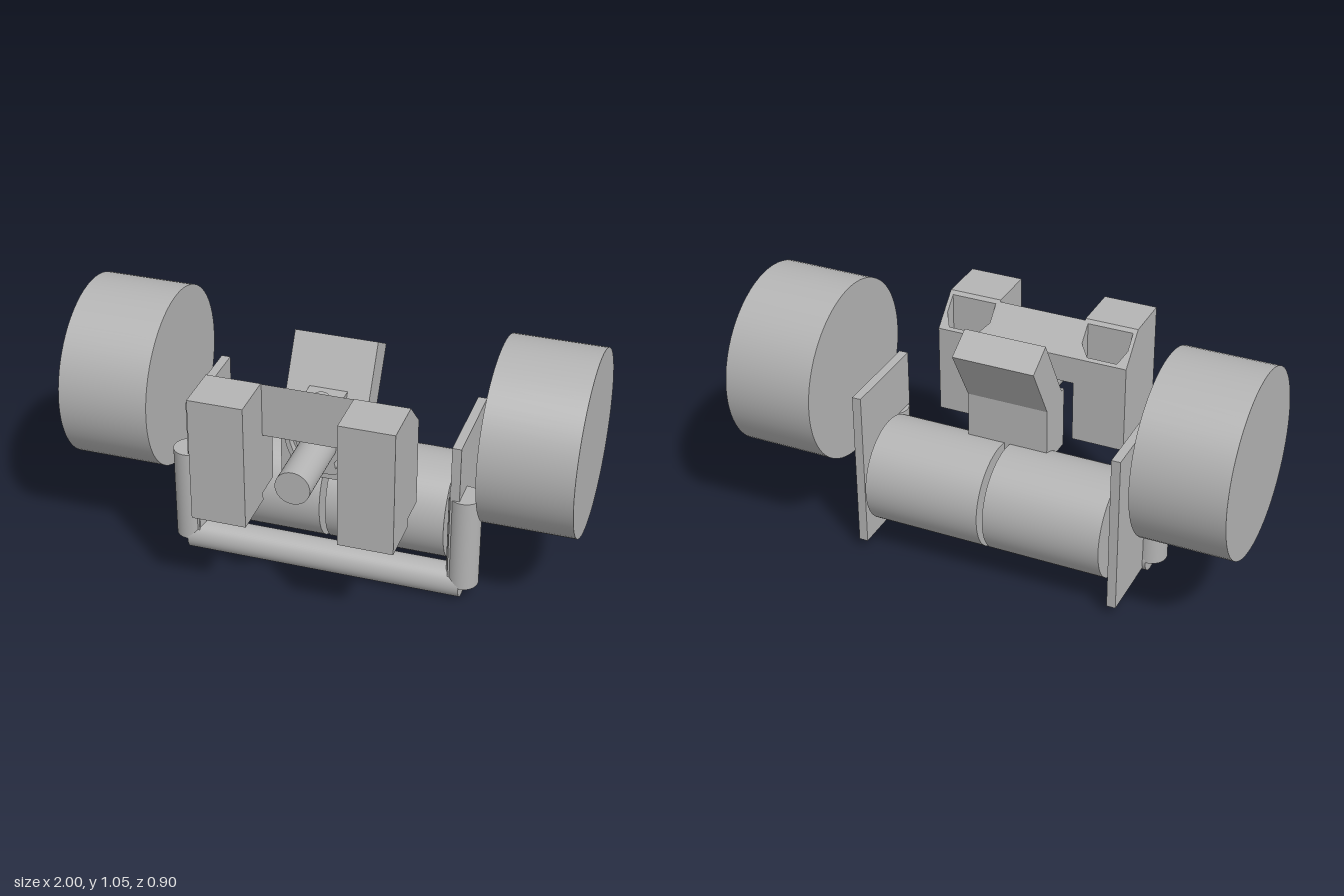
import * as THREE from 'three';

export function createModel() {
  const model = new THREE.Group();
  const grey = new THREE.MeshStandardMaterial({ color: 0xb4b4b4 });
  grey.name = 'plain grey';

  const add = (name, geometry, x = 0, y = 0, z = 0) => {
    const mesh = new THREE.Mesh(geometry, grey);
    mesh.name = name;
    mesh.position.set(x, y, z);
    model.add(mesh);
    return mesh;
  };
  // box given by its limits on each axis
  const box = (name, x0, x1, y0, y1, z0, z1) =>
    add(name, new THREE.BoxGeometry(x1 - x0, y1 - y0, z1 - z0),
      (x0 + x1) / 2, (y0 + y1) / 2, (z0 + z1) / 2);
  const rod = (name, r, length, axis, x, y, z) => {
    const g = new THREE.CylinderGeometry(r, r, length, 64);
    if (axis === 'x') g.rotateZ(Math.PI / 2);
    if (axis === 'z') g.rotateX(Math.PI / 2);
    return add(name, g, x, y, z);
  };
  const polygon = (pts) => new THREE.Shape(pts.map(([a, b]) => new THREE.Vector2(a, b)));
  // side profile of [z, y] points, extruded across x
  const crossPart = (name, pts, x0, x1) => {
    const g = new THREE.ExtrudeGeometry(polygon(pts.map(([z, y]) => [-z, y])),
      { depth: x1 - x0, bevelEnabled: false });
    g.rotateY(Math.PI / 2);
    return add(name, g, x0);
  };

  // parts repeated on both sides
  for (const s of [-1, 1]) {
    const side = s > 0 ? 'left' : 'right';
    rod(side + 'Wheel', 0.36, 0.36, 'x', s * 0.82, 0.69, -0.09);
    rod(side + 'Drum', 0.21, 0.473, 'x', s * 0.2485, 0.297, -0.117);
    box(side + 'SidePlate', s * 0.528 - 0.018, s * 0.528 + 0.018, 0.035, 0.69, -0.287, 0.105);
    rod(side + 'UprightPipe', 0.064, 0.395, 'y', s * 0.558, 0.2625, 0.055);

    // front box with its hollow sloped mount behind
    const cx = s * 0.285 - 0.003;
    box(side + 'FrontBox', cx - 0.107, cx + 0.107, 0.415, 0.925, 0.255, 0.45);
    const outline = polygon([[-0.107, -0.255], [0.107, -0.255], [0.107, -0.14], [-0.107, -0.14]]);
    const inner = [[-0.092, -0.242], [0.092, -0.242], [0.092, -0.19], [0.065, -0.15],
      [-0.055, -0.15], [-0.092, -0.185]];
    outline.holes.push(new THREE.Path(inner.map(([x, y]) => new THREE.Vector2(x * s, y))));
    const g = new THREE.ExtrudeGeometry(outline, { depth: 0.475, bevelEnabled: false });
    g.rotateX(-Math.PI / 2);
    const p = g.attributes.position;
    for (let i = 0; i < p.count; i++) {
      if (p.getY(i) > 0.2) p.setY(i, 0.475 - (0.255 - p.getZ(i)));
    }
    g.computeVertexNormals();
    add(side + 'HollowMount', g, cx, 0.45, 0);
  }

  // low pipe joining the uprights
  rod('lowerPipe', 0.065, 1.116, 'x', 0, 0.065, 0.055);

  // bar between the hollow mounts, with the same sloped top
  crossPart('crossBar', [[0.25, 0.7], [0.25, 0.92], [0.14, 0.81], [0.14, 0.7]], -0.182, 0.177);

  // central housing with the leaning head on top
  box('housing', -0.165, 0.163, 0.45, 0.7, -0.07, 0.09);
  crossPart('leaningHead',
    [[0.07, 0.695], [-0.09, 0.975], [-0.2, 0.911], [-0.045, 0.64], [0.0, 0.64]], -0.165, 0.163);
  box('neckBlock', -0.075, 0.075, 0.69, 0.8, 0.01, 0.145);
  rod('neckScrew', 0.028, 0.02, 'y', -0.003, 0.805, 0.09);

  // rounded cup with two curved slots around the front tube
  const cup = new THREE.Shape();
  cup.moveTo(-0.145, 0.05);
  cup.bezierCurveTo(-0.13, -0.07, -0.09, -0.12, -0.04, -0.12);
  cup.lineTo(0.04, -0.12);
  cup.bezierCurveTo(0.09, -0.12, 0.13, -0.07, 0.145, 0.05);
  cup.closePath();
  for (const s of [-1, 1]) {
    const slot = new THREE.Path();
    slot.moveTo(s * 0.125, 0.035);
    slot.quadraticCurveTo(s * 0.11, -0.06, s * 0.065, -0.09);
    slot.lineTo(s * 0.06, -0.065);
    slot.quadraticCurveTo(s * 0.09, -0.03, s * 0.1, 0.035);
    slot.closePath();
    cup.holes.push(slot);
  }
  add('tubeCup', new THREE.ExtrudeGeometry(cup, { depth: 0.03, bevelEnabled: false, curveSegments: 12 }),
    -0.002, 0.61, 0.09);
  rod('frontTube', 0.068, 0.34, 'z', -0.003, 0.612, 0.26);

  return model;
}
